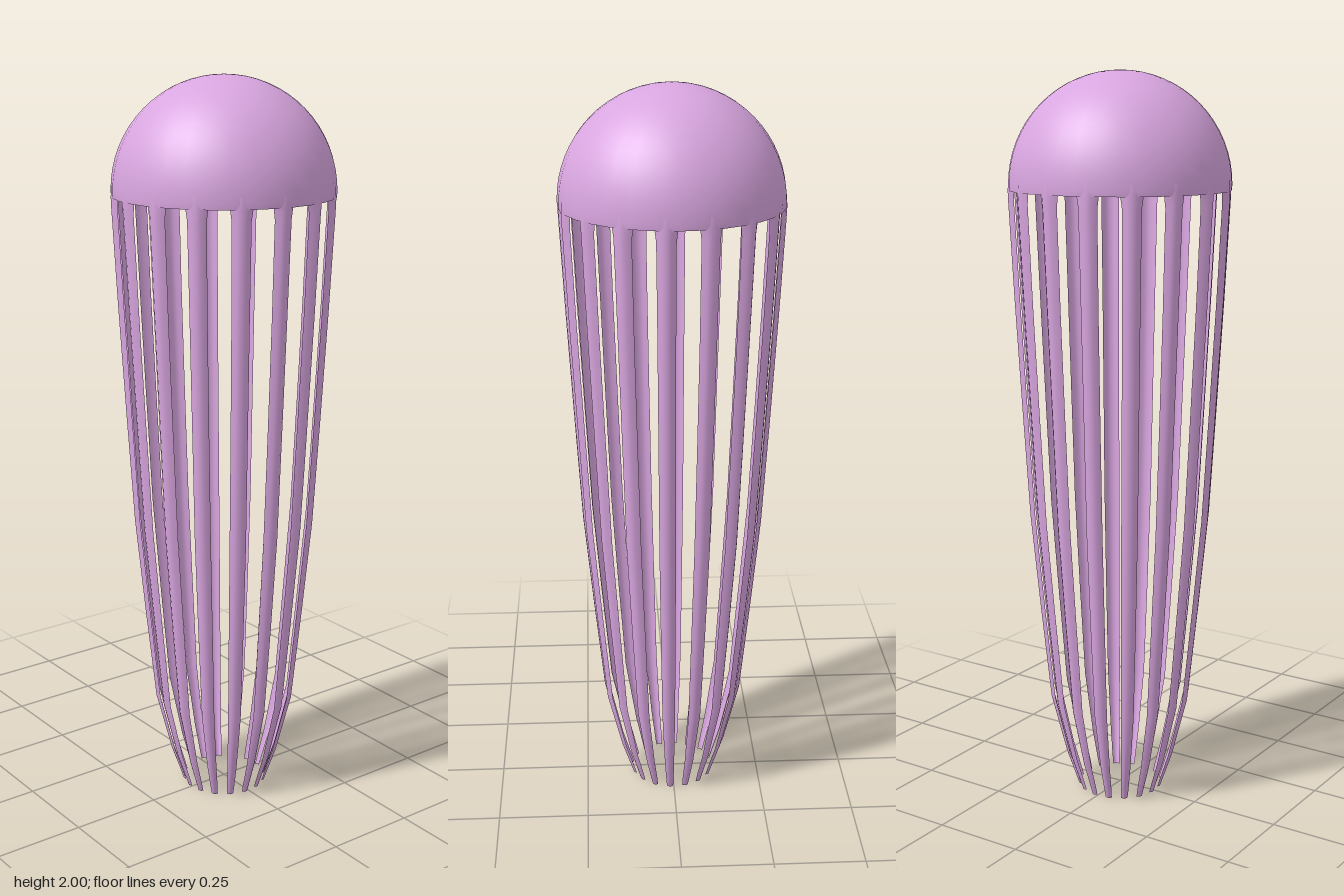
import * as THREE from 'three';

const COUNT = 16;
const STEP = (Math.PI * 2) / COUNT;
const RADIUS = 0.297;
const RIM_Y = 1.703;

const material = new THREE.MeshStandardMaterial({ color: 0xd9a6e0, side: THREE.DoubleSide });

// Tentacle stations from rim to tip: [height, radius, share of the ring step covered]
const STATIONS = [
  [1.72, 0.296, 0.62], [1.69, 0.298, 0.52], [1.66, 0.297, 0.45], [1.4, 0.284, 0.44],
  [1.1, 0.267, 0.45], [0.8, 0.249, 0.47], [0.53, 0.223, 0.48], [0.27, 0.196, 0.48],
  [0.1, 0.153, 0.46], [0.03, 0.129, 0.44], [0, 0.119, 0.4],
];

// Hollow dome: hemisphere with a short skirt, open underneath
function createBell() {
  const profile = [new THREE.Vector2(RADIUS - 0.001, 1.69)];
  for (let i = 0; i <= 16; i++) {
    const a = (i / 16) * Math.PI / 2;
    profile.push(new THREE.Vector2(RADIUS * Math.cos(a), RIM_Y + RADIUS * Math.sin(a)));
  }
  const bell = new THREE.Mesh(new THREE.LatheGeometry(profile, COUNT * 2), material);
  bell.name = 'bell';
  return bell;
}

// Ribbon that follows the stations, with its long edges curled slightly inward
function createTentacleGeometry() {
  const geometry = new THREE.PlaneGeometry(2, 1, 4, STATIONS.length - 1);
  const pos = geometry.attributes.position;
  for (let i = 0; i < pos.count; i++) {
    const [y, radius, share] = STATIONS[Math.floor(i / 5)];
    const u = pos.getX(i);
    const angle = u * share * STEP / 2;
    const r = radius - 0.045 * radius * u * u;
    pos.setXYZ(i, r * Math.sin(angle), y, r * Math.cos(angle));
  }
  geometry.computeVertexNormals();
  return geometry;
}

export function createModel() {
  const model = new THREE.Group();
  model.name = 'jellyfish';
  model.add(createBell());

  // Ring of tentacles, each filling the slot beside a gap
  const tentacles = new THREE.Group();
  tentacles.name = 'tentacles';
  const geometry = createTentacleGeometry();
  for (let i = 0; i < COUNT; i++) {
    const tentacle = new THREE.Mesh(geometry, material);
    tentacle.name = 'tentacle';
    tentacle.rotation.y = (i - 0.25) * STEP;
    tentacles.add(tentacle);
  }
  model.add(tentacles);
  return model;
}
